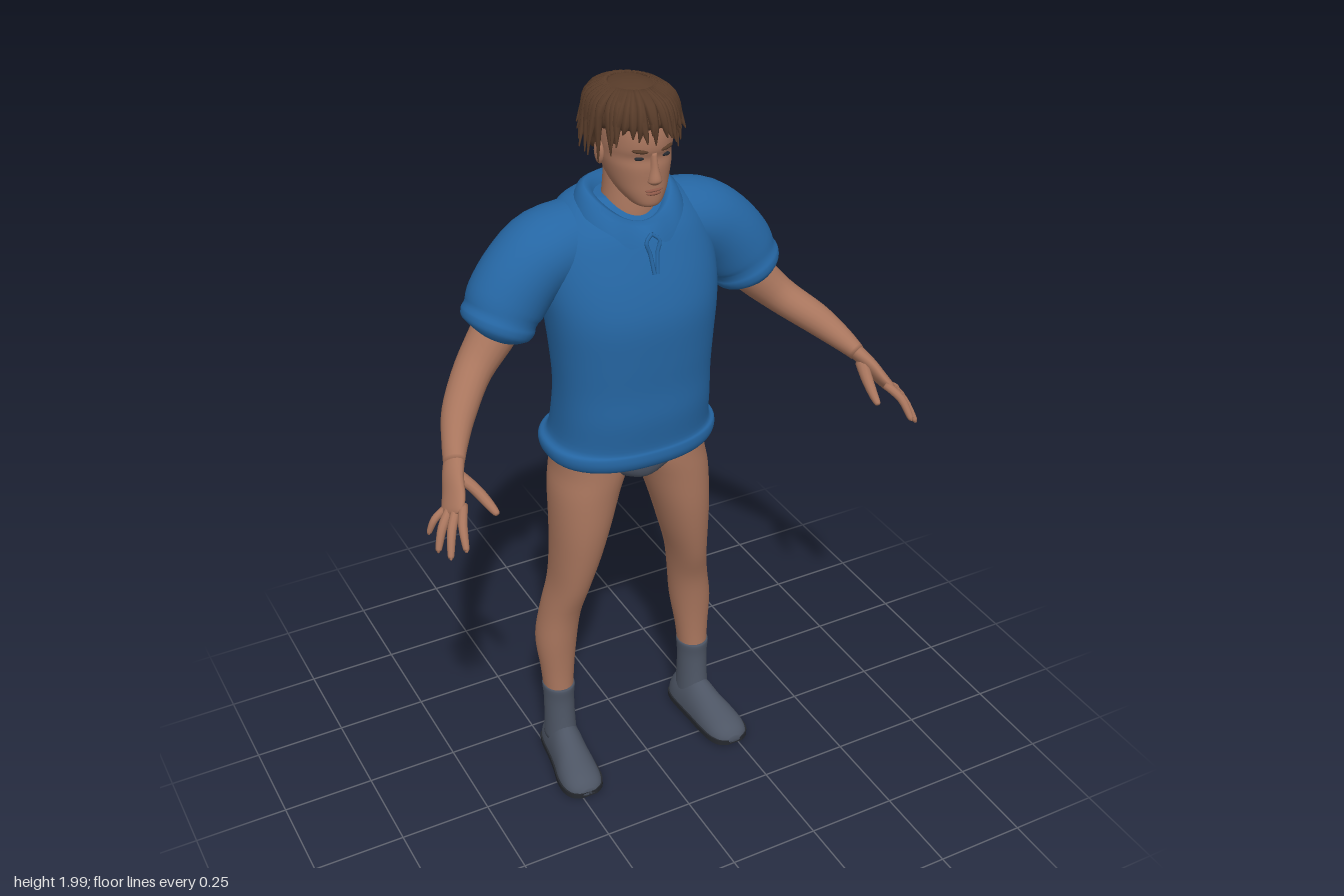
import * as THREE from 'three';

const mat = (name, color) => {
  const m = new THREE.MeshStandardMaterial({ color });
  m.name = name;
  return m;
};
const V = (x, y, z) => new THREE.Vector3(x, y, z);

// Smoothly subdivide rows of numbers (Catmull-Rom on every column)
function densify(rows, k = 4) {
  const out = [], at = i => rows[Math.max(0, Math.min(rows.length - 1, i))];
  for (let i = 0; i < rows.length - 1; i++)
    for (let j = 0; j < k; j++) {
      const t = j / k, p = at(i - 1), a = at(i), b = at(i + 1), q = at(i + 2);
      out.push(a.map((v, c) => v + 0.5 * t * (b[c] - p[c] + t * (2 * p[c] - 5 * v + 4 * b[c] - q[c] + t * (3 * (v - b[c]) + q[c] - p[c])))));
    }
  out.push(at(rows.length - 1));
  return out;
}

// Skin a list of closed rings; optional end caps
function loft(rings, caps = true) {
  const n = rings[0].length, pos = [], idx = [], last = (rings.length - 1) * n;
  rings.forEach(r => r.forEach(p => pos.push(p.x, p.y, p.z)));
  for (let i = 0; i < rings.length - 1; i++)
    for (let j = 0; j < n; j++) {
      const a = i * n + j, b = i * n + (j + 1) % n;
      idx.push(a, b, a + n, b, b + n, a + n);
    }
  if (caps) [rings[0], rings[rings.length - 1]].forEach((r, e) => {
    const c = r.reduce((s, p) => s.add(p), V(0, 0, 0)).divideScalar(n), ci = pos.length / 3;
    pos.push(c.x, c.y, c.z);
    for (let j = 0; j < n; j++) {
      const k = (j + 1) % n;
      e ? idx.push(ci, last + j, last + k) : idx.push(ci, k, j);
    }
  });
  const g = new THREE.BufferGeometry();
  g.setAttribute('position', new THREE.Float32BufferAttribute(pos, 3));
  g.setIndex(idx);
  g.computeVertexNormals();
  return g;
}

// Horizontal slices, bottom to top: [y, centreX, halfWidth, zFront, zBack]
function slices(rows, exp = 2, n = 36) {
  const pw = v => Math.sign(v) * Math.abs(v) ** (2 / exp);
  return loft(densify(rows).map(([y, cx, rx, zf, zb]) => Array.from({ length: n }, (_, j) => {
    const t = j / n * Math.PI * 2;
    return V(cx + rx * pw(Math.sin(t)), y, (zf + zb) / 2 + (zf - zb) / 2 * pw(Math.cos(t)));
  })));
}

// Limb along a path: [x, y, z, radius across, radius in depth]
function limb(rows, n = 20, k = 4) {
  const d = densify(rows, k), P = d.map(r => V(r[0], r[1], r[2]));
  return loft(d.map((r, i) => {
    const T = P[Math.min(i + 1, P.length - 1)].clone().sub(P[Math.max(i - 1, 0)]).normalize();
    const U = T.clone().cross(V(0, 0, 1)).normalize(), W = T.clone().cross(U);
    return Array.from({ length: n }, (_, j) => {
      const t = j / n * Math.PI * 2;
      return P[i].clone().addScaledVector(U, r[3] * Math.cos(t)).addScaledVector(W, r[4] * Math.sin(t));
    });
  }));
}

export function createModel() {
  const root = new THREE.Group();
  root.name = 'figure';
  const skin = mat('skin', 0xa8755d), shirt = mat('shirtBlue', 0x2566a3), grey = mat('slateGrey', 0x4d5564);
  const hair = mat('hairBrown', 0x573b29), dark = mat('soleDark', 0x25282e), lip = mat('lip', 0x8d5848);
  const add = (name, g, m, p = root) => {
    const o = new THREE.Mesh(g, m);
    o.name = name;
    p.add(o);
    return o;
  };
  const blob = (name, m, x, y, z, sx, sy, sz) => {
    const o = add(name, new THREE.SphereGeometry(1, 16, 12), m);
    o.position.set(x, y, z);
    o.scale.set(sx, sy, sz);
    return o;
  };

  // Shirt body with a rolled hem
  add('shirtBody', slices([
    [1.0, 0, .195, .03, -.255], [1.01, 0, .225, .05, -.28], [1.03, 0, .235, .06, -.29], [1.052, 0, .233, .06, -.284],
    [1.07, 0, .214, .056, -.265], [1.15, 0, .208, .065, -.246], [1.23, 0, .207, .065, -.234], [1.32, 0, .213, .07, -.24],
    [1.42, 0, .223, .072, -.252], [1.5, 0, .228, .055, -.264], [1.58, 0, .22, .026, -.27], [1.64, 0, .195, -.002, -.26],
    [1.69, 0, .15, -.045, -.235], [1.712, 0, .1, -.075, -.2]], 2.3, 56), shirt);

  // Folded collar: outer edge with two points, ridge, inner edge
  const collarRows = [[.136, .026, -.225, 1.625, 1.695], [.124, .008, -.212, 1.66, 1.725], [.108, -.012, -.192, 1.665, 1.737],
    [.092, -.026, -.175, 1.662, 1.73], [.08, -.032, -.165, 1.645, 1.7]];
  add('collar', loft(collarRows.map(([rx, zf, zb, yf, yb], i) => Array.from({ length: 64 }, (_, j) => {
    let t = j / 64 * Math.PI * 2;
    const a = Math.min(t, Math.PI * 2 - t), k = ((1 + Math.cos(t)) / 2) ** 3;
    const tip = i ? 0 : .02 * Math.exp(-(((a - .4) / .2) ** 2)) - .012 * Math.exp(-((a / .12) ** 2));
    return V(rx * Math.sin(t), yb + (yf - yb) * k - tip, (zf + zb) / 2 + (zf - zb) / 2 * Math.cos(t));
  })), false), shirt).material.side = THREE.DoubleSide;

  // Neck lace
  for (const s of [1, -1]) {
    const c = new THREE.CatmullRomCurve3([V(0, 1.645, .022), V(s * .018, 1.628, .03), V(s * .01, 1.6, .034), V(s * .004, 1.55, .046)]);
    add('neckLace', new THREE.TubeGeometry(c, 12, .005, 6), shirt);
  }

  // Briefs
  add('briefs', slices([[.925, 0, .012, -.06, -.15], [.942, 0, .055, -.008, -.215], [.965, 0, .115, .008, -.242],
    [1.0, 0, .185, .012, -.25], [1.05, 0, .21, .015, -.25]], 2.2), grey);

  for (const s of [1, -1]) {
    const side = new THREE.Group();
    side.name = s > 0 ? 'leftLimbs' : 'rightLimbs';
    root.add(side);
    const m = rows => rows.map(r => [s * r[0], ...r.slice(1)]);
    const mx = rows => rows.map(r => [r[0], s * r[1], ...r.slice(2)]);

    // Sleeve with rolled cuff
    add('sleeve', limb(m([[.08, 1.605, -.145, .09, .1], [.2, 1.585, -.138, .1, .108], [.27, 1.54, -.13, .1, .102],
      [.318, 1.48, -.125, .1, .098], [.336, 1.45, -.121, .092, .094], [.345, 1.433, -.119, .094, .097],
      [.354, 1.416, -.117, .085, .09], [.356, 1.412, -.117, .06, .06]]), 32), shirt, side);

    // Arm
    add('arm', limb(m([[.28, 1.53, -.125, .06, .06], [.35, 1.42, -.115, .058, .06], [.43, 1.335, -.085, .047, .05],
      [.5, 1.28, -.01, .041, .044], [.54, 1.242, .055, .031, .034], [.563, 1.215, .1, .022, .03]])), skin, side);

    // Hand: palm, four fingers and thumb
    add('palm', limb(m([[.55, 1.23, .075, .021, .027], [.575, 1.2, .12, .019, .034], [.592, 1.17, .16, .017, .041],
      [.607, 1.148, .188, .013, .04], [.612, 1.14, .197, .006, .03]])), skin, side);
    const tips = [[.615, 1.1, .28], [.645, 1.075, .258], [.658, 1.072, .215], [.66, 1.09, .165]];
    tips.forEach(([x, y, z], i) => {
      const w = (i / 3 - .5) * .06, a = [.603 + .57 * w, 1.152 - .45 * w, .183 - .68 * w];
      const mid = [(a[0] + x) / 2 + .006, (a[1] + y) / 2 + .008, (a[2] + z) / 2 + .004];
      const r = i === 3 ? .009 : .011;
      add('finger', limb(m([[...a, r, r], [...mid, r, r], [x, y, z, r * .7, r * .7], [x + .001, y - .003, z + .003, .002, .002]]), 10), skin, side);
    });
    add('thumb', limb(m([[.565, 1.195, .12, .015, .017], [.545, 1.182, .175, .014, .015], [.532, 1.165, .225, .012, .012],
      [.526, 1.155, .255, .008, .008], [.525, 1.153, .26, .002, .002]]), 10), skin, side);

    // Leg and sock
    add('leg', slices(mx([[.22, .215, .04, -.083, -.174], [.3, .214, .046, -.085, -.183], [.4, .211, .056, -.08, -.205],
      [.5, .198, .053, -.068, -.202], [.6, .18, .052, -.036, -.195], [.7, .163, .064, -.014, -.197], [.8, .148, .078, -.001, -.204],
      [.9, .131, .092, .002, -.222], [.97, .112, .1, .002, -.235], [1.03, .108, .102, 0, -.235]]), 2.1), skin, side);
    add('sock', slices(mx([[.06, .215, .044, -.065, -.185], [.13, .215, .042, -.075, -.178], [.2, .215, .042, -.08, -.176],
      [.243, .215, .045, -.077, -.179], [.248, .215, .04, -.082, -.174]])), grey, side);

    // Shoe upper: sections heel to toe [z, centreX, halfWidth, top]
    const shoe = densify([[-.198, .21, .02, .05], [-.185, .21, .038, .085], [-.15, .211, .047, .115], [-.09, .216, .05, .122],
      [-.04, .222, .053, .102], [.01, .229, .058, .082], [.055, .233, .056, .066], [.085, .234, .043, .05], [.1, .234, .02, .032]]);
    add('shoe', loft(shoe.map(([z, cx, w, h]) => Array.from({ length: 28 }, (_, j) => {
      const t = j / 28 * Math.PI * 2, sn = Math.sin(t);
      return V(s * cx + w * Math.cos(t), .02 + (sn > 0 ? (h - .02) * sn : .008 * sn), z);
    }))), grey, side);

    // Sole outline and heel block
    const right = shoe.map(([z, cx, w]) => new THREE.Vector2(s * cx + w + .004, -z));
    const left = shoe.map(([z, cx, w]) => new THREE.Vector2(s * cx - w - .004, -z)).reverse();
    const sole = new THREE.ExtrudeGeometry(new THREE.Shape([...right, ...left]), { depth: .016, bevelEnabled: false });
    sole.rotateX(-Math.PI / 2);
    add('sole', sole, dark, side).position.y = .008;
    const heel = add('heel', new THREE.CylinderGeometry(.042, .042, .012, 24), dark, side);
    heel.position.set(s * .212, .006, -.15);
    heel.scale.z = 1.1;

    // Ear, eye and brow
    blob('ear', skin, s * .087, 1.835, -.075, .01, .03, .019);
    blob('eye', dark, s * .033, 1.843, .025, .013, .005, .008);
    const brow = blob('brow', hair, s * .034, 1.862, .031, .02, .005, .008);
    brow.rotation.set(0, s * .35, s * .12);
  }

  // Neck and head
  add('neck', slices([[1.6, 0, .07, -.03, -.17], [1.67, 0, .07, -.028, -.165], [1.74, 0, .063, -.035, -.158], [1.8, 0, .06, -.04, -.155]]), skin);
  add('head', slices([[1.715, 0, .022, .022, -.03], [1.724, 0, .038, .033, -.06], [1.75, 0, .058, .036, -.11], [1.78, 0, .071, .036, -.145],
    [1.815, 0, .08, .037, -.165], [1.84, 0, .083, .034, -.178], [1.864, 0, .085, .041, -.185], [1.9, 0, .085, .039, -.188],
    [1.94, 0, .08, .025, -.18], [1.97, 0, .058, -.01, -.15], [1.984, 0, .025, -.05, -.11]], 2.15), skin);
  add('nose', slices([[1.777, 0, .008, .044, .02], [1.784, 0, .017, .053, .02], [1.793, 0, .016, .056, .02],
    [1.82, 0, .01, .048, .02], [1.855, 0, .008, .041, .02]], 2, 16), skin);
  blob('upperLip', lip, 0, 1.762, .033, .023, .004, .008);
  blob('lowerLip', lip, 0, 1.754, .033, .019, .005, .008);

  // Hair cap and seeded loose locks
  add('hairCap', slices([[1.805, 0, .05, -.1, -.175], [1.83, 0, .083, -.085, -.195], [1.86, 0, .094, -.07, -.206], [1.89, 0, .097, -.03, -.211],
    [1.912, 0, .098, .038, -.212], [1.94, 0, .095, .043, -.208], [1.965, 0, .08, .025, -.188], [1.984, 0, .053, -.015, -.15],
    [1.993, 0, .02, -.06, -.1]], 2.1), hair);
  let seed = 7;
  const rnd = () => (seed = (seed * 16807) % 2147483647) / 2147483647;
  for (let i = 0; i < 60; i++) {
    const t = (i + rnd() * .6) / 60 * Math.PI * 2, front = Math.cos(t) > .55;
    const at = (r, y, d = 0) => [.1 * r * Math.sin(t + d), y, -.083 + .126 * r * Math.cos(t + d)];
    const end = front ? 1.875 + rnd() * .03 : 1.82 + rnd() * .06, flick = 1.02 + rnd() * .2, d = (rnd() - .5) * .4;
    add('hairLock', limb([[...at(.5, 1.983), .008, .008], [...at(.88, 1.962, d * .3), .011, .011],
      [...at(1.03, 1.925, d * .6), .01, .01], [...at(flick, end, d), .0015, .0015]], 7, 3), hair);
  }
  return root;
}
